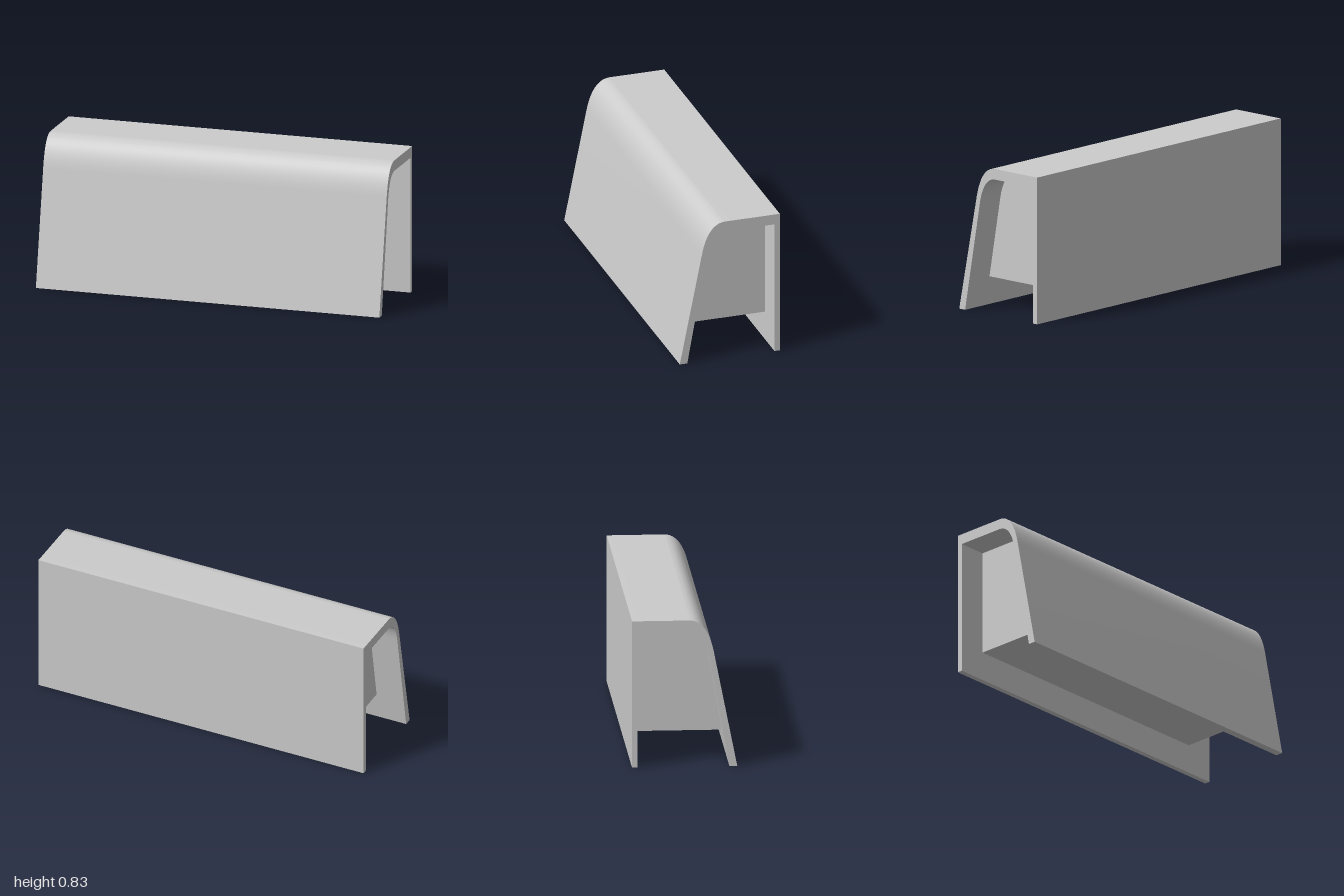
import * as THREE from 'three';
import { toCreasedNormals } from 'three/addons/utils/BufferGeometryUtils.js';

const LENGTH = 2;
const INSET = 0.167; // core is set back from both open ends
const FLOOR = 0.167; // underside of the core

// Side profiles, drawn with shape x = model z
function outerFace(path) {
  path.moveTo(-0.292, 0);
  path.lineTo(-0.292, 0.833);
  path.lineTo(0.025, 0.833);
  path.quadraticCurveTo(0.127, 0.833, 0.163, 0.648);
  path.lineTo(0.292, 0);
}

// Inner face, traced from front to back, starting at the current point
function innerFace(path) {
  path.lineTo(0.137, 0.625);
  path.quadraticCurveTo(0.11, 0.773, 0.02, 0.773);
  path.lineTo(-0.261, 0.773);
}

// Extrude a profile along x, centred, with smooth bends and sharp edges
function extrudeAlongX(name, shape, length) {
  const geometry = new THREE.ExtrudeGeometry(shape, {
    depth: length, bevelEnabled: false, curveSegments: 24,
  });
  geometry.translate(0, 0, -length / 2);
  geometry.rotateY(-Math.PI / 2);
  const mesh = new THREE.Mesh(
    toCreasedNormals(geometry, Math.PI / 6),
    new THREE.MeshStandardMaterial({ color: 0xcccccc }),
  );
  mesh.name = name;
  return mesh;
}

export function createModel() {
  const group = new THREE.Group();
  group.name = 'coveredBarrier';

  // Thin folded cover: upright back, flat top, rounded shoulder, sloping front
  const cover = new THREE.Shape();
  outerFace(cover);
  cover.lineTo(0.248, 0);
  innerFace(cover);
  cover.lineTo(-0.261, 0);
  cover.closePath();
  group.add(extrudeAlongX('cover', cover, LENGTH));

  // Solid core filling the cover, short of the ends and raised off the ground
  const core = new THREE.Shape();
  core.moveTo(-0.261, FLOOR);
  core.lineTo(0.218, FLOOR);
  innerFace(core);
  core.closePath();
  group.add(extrudeAlongX('core', core, LENGTH - 2 * INSET));

  return group;
}
